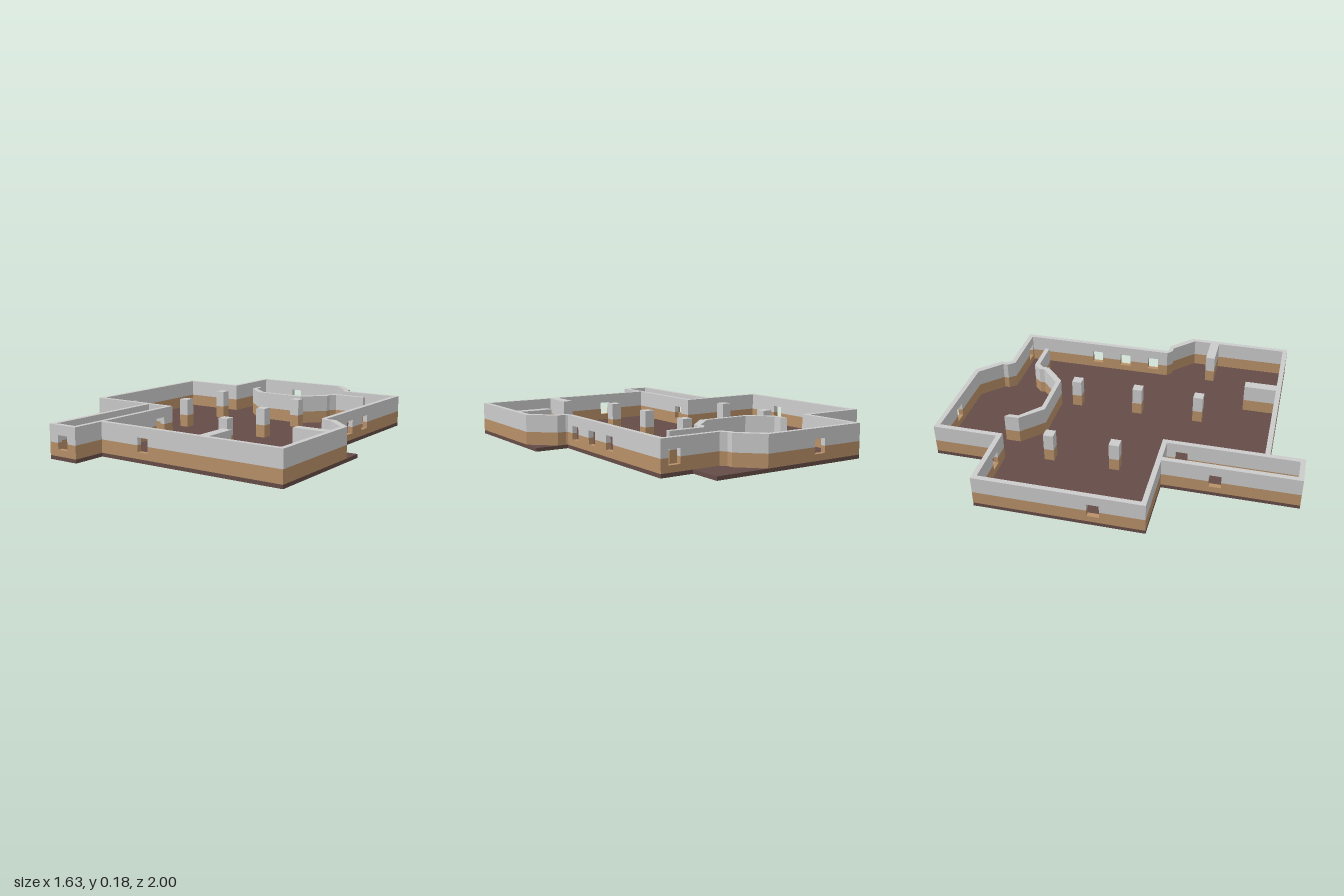
import * as THREE from 'three';

const FLOOR = 0.02, SILL = 0.055, BAND = 0.09, LINTEL = 0.13, TOP = 0.183;
const LEVELS = [FLOOR, SILL, BAND, LINTEL, TOP];
const HALF_WINDOW = 0.033;

const lowerMat = new THREE.MeshStandardMaterial({ color: 0xb89068 });
const upperMat = new THREE.MeshStandardMaterial({ color: 0xcccccc });
const floorMat = new THREE.MeshStandardMaterial({ color: 0x654c47 });

function meshFrom(positions, material, name) {
  const geo = new THREE.BufferGeometry();
  geo.setAttribute('position', new THREE.Float32BufferAttribute(positions, 3));
  geo.computeVertexNormals();
  const mesh = new THREE.Mesh(geo, material);
  mesh.name = name;
  return mesh;
}

// Mitred wall along stations [outerX, outerZ, innerX, innerZ], clockwise from above.
// windows: { segmentIndex: [centre coordinates along that segment's main axis] }
function wall(name, stations, { closed = false, windows = {} } = {}) {
  const lower = [], upper = [];
  const count = closed ? stations.length : stations.length - 1;

  for (let s = 0; s < count; s++) {
    const a = stations[s], b = stations[(s + 1) % stations.length];
    const axis = Math.abs(b[0] - a[0]) > Math.abs(b[1] - a[1]) ? 0 : 1;
    const dir = Math.sign(b[axis] - a[axis]);
    // station on this segment at a coordinate of its main axis
    const at = (c) => [0, 2].flatMap((k) => {
      const t = (c - a[k + axis]) / (b[k + axis] - a[k + axis]);
      return [a[k] + t * (b[k] - a[k]), a[k + 1] + t * (b[k + 1] - a[k + 1])];
    });
    const centres = [...(windows[s] || [])].sort((p, q) => dir * (p - q));
    const cuts = [a, ...centres.flatMap((c) =>
      [at(c - dir * HALF_WINDOW), at(c + dir * HALF_WINDOW)]), b];

    const isWindow = (i, j) => i % 2 === 1 && i < cuts.length - 1 && (j === 1 || j === 2);
    for (let i = 0; i < cuts.length - 1; i++) {
      for (let j = 0; j < 4; j++) {
        if (isWindow(i, j)) continue;
        const out = j < 2 ? lower : upper;
        const p = cuts[i], q = cuts[i + 1], y0 = LEVELS[j], y1 = LEVELS[j + 1];
        const O = (c, y) => [c[0], y, c[1]], I = (c, y) => [c[2], y, c[3]];
        const quad = (k, l, m, n) => out.push(...k, ...l, ...m, ...k, ...m, ...n);

        quad(O(q, y0), O(p, y0), O(p, y1), O(q, y1));
        quad(I(p, y0), I(q, y0), I(q, y1), I(p, y1));
        // wall top and window sill
        if (j === 3 || isWindow(i, j + 1)) quad(I(p, y1), I(q, y1), O(q, y1), O(p, y1));
        // underside of the lintel
        if (isWindow(i, j - 1)) quad(O(p, y0), O(q, y0), I(q, y0), I(p, y0));
        // window jambs and open wall ends
        const first = !closed && s === 0 && i === 0;
        const last = !closed && s === count - 1 && i === cuts.length - 2;
        if (last || isWindow(i + 1, j)) quad(I(q, y0), O(q, y0), O(q, y1), I(q, y1));
        if (first || isWindow(i - 1, j)) quad(O(p, y0), I(p, y0), I(p, y1), O(p, y1));
      }
    }
  }
  const group = new THREE.Group();
  group.name = name;
  group.add(meshFrom(lower, lowerMat, name + 'Lower'), meshFrom(upper, upperMat, name + 'Upper'));
  return group;
}

// Rectangular block with the same two-colour bands
const block = (name, x0, x1, z0, z1) => wall(name, [[x0, z0, x0, z1], [x1, z0, x1, z1]]);

export function createModel() {
  const model = new THREE.Group();
  model.name = 'floorPlan';

  // Floor slab
  const outline = [
    [-0.455, -1], [0.45, -1], [0.45, -0.82], [0.63, -0.82], [0.63, 0.09], [0.815, 0.09],
    [0.815, 0.815], [-0.275, 0.815], [-0.275, 1], [-0.455, 1], [-0.455, 0.27],
    [-0.82, 0.27], [-0.82, -0.638], [-0.455, -0.638],
  ].map(([x, z]) => new THREE.Vector2(x, z));
  const slab = new THREE.ExtrudeGeometry(new THREE.Shape(outline), { depth: FLOOR, bevelEnabled: false });
  slab.rotateX(Math.PI / 2).translate(0, FLOOR, 0);
  const floor = new THREE.Mesh(slab, floorMat);
  floor.name = 'floor';
  model.add(floor);

  // Outer walls of the main hall
  model.add(wall('outerWall', [
    [-0.455, -1, -0.427, -0.973],
    [0.15, -1, 0.127, -0.973],
    [0.27, -0.88, 0.243, -0.86],
    [0.27, -0.845, 0.243, -0.832],
    [0.297, -0.82, 0.275, -0.793],
    [0.63, -0.82, 0.603, -0.793],
    [0.63, 0.085, 0.603, 0.09],
    [0.64, 0.092, 0.635, 0.118],
    [0.688, 0.092, 0.667, 0.118],
    [0.815, 0.213, 0.788, 0.235],
    [0.815, 0.815, 0.788, 0.788],
    [-0.302, 0.815, -0.275, 0.788],
    [-0.302, 0.27, -0.275, 0.243],
    [-0.82, 0.27, -0.793, 0.243],
    [-0.82, -0.638, -0.793, -0.611],
    [-0.455, -0.638, -0.427, -0.611],
  ], {
    closed: true,
    windows: { 0: [-0.18], 4: [0.555], 5: [-0.36, -0.18, 0], 10: [0], 11: [0.35], 13: [0], 14: [-0.555] },
  }));

  // Narrow corridor at the front
  model.add(wall('corridorWall', [
    [-0.275, 0.815, -0.302, 0.815],
    [-0.275, 1, -0.302, 0.973],
    [-0.455, 1, -0.427, 0.973],
    [-0.455, 0.27, -0.427, 0.27],
  ], { windows: { 1: [-0.365], 2: [0.555] } }));

  // Angled partition near the back
  model.add(wall('partition', [
    [-0.248, -0.636, -0.272, -0.66],
    [-0.248, -0.587, -0.272, -0.577],
    [-0.132, -0.486, -0.155, -0.461],
    [0.125, -0.486, 0.15, -0.461],
    [0.243, -0.597, 0.27, -0.575],
    [0.243, -0.627, 0.27, -0.612],
    [0.28, -0.669, 0.297, -0.642],
    [0.48, -0.669, 0.48, -0.642],
  ]));

  // Short dividing walls
  model.add(block('sideDivider', 0.605, 0.79, 0.334, 0.388));
  model.add(block('frontDivider', 0.334, 0.39, 0.605, 0.79));

  // Square columns
  const h = 0.028;
  for (const [x, z] of [[-0.365, -0.366], [-0.365, 0], [0.18, -0.366], [0.18, 0], [0.18, 0.36]]) {
    model.add(block('column', x - h, x + h, z - h, z + h));
  }
  return model;
}
